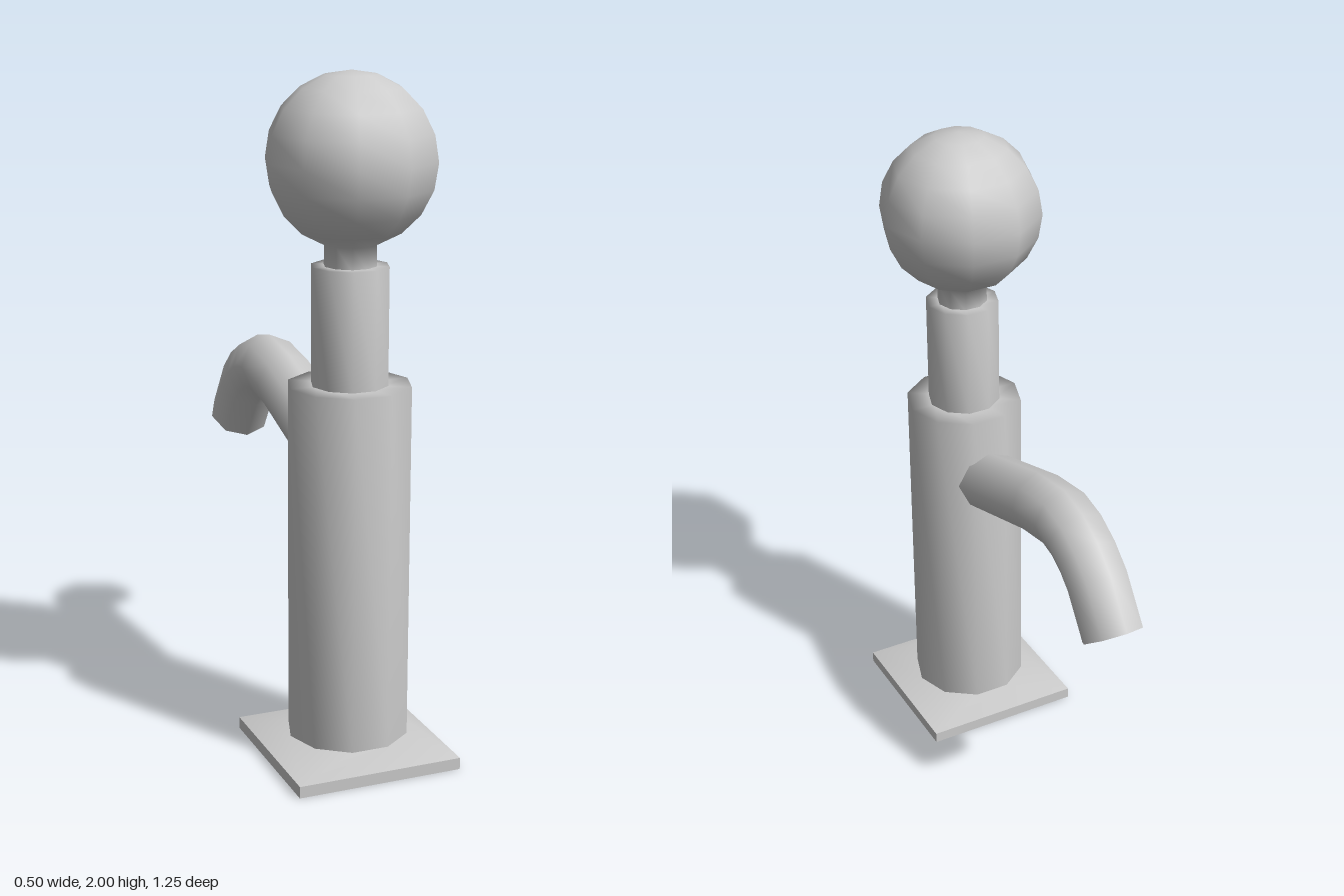
import * as THREE from 'three';
import { ConvexGeometry } from 'three/addons/geometries/ConvexGeometry.js';
import { mergeVertices, toCreasedNormals } from 'three/addons/utils/BufferGeometryUtils.js';

const AXIS_Z = 0.375; // centre line of the column

// Skin over rings { centre, radius, axis }; every ring has a corner on +x.
function skin(rings, sides) {
  const pos = [], index = [];
  const u = new THREE.Vector3(1, 0, 0), v = new THREE.Vector3(), p = new THREE.Vector3();
  rings.forEach(({ centre, radius, axis }, i) => {
    v.crossVectors(axis, u);
    for (let j = 0; j < sides; j++) {
      const a = (j / sides) * Math.PI * 2;
      p.copy(centre).addScaledVector(u, radius * Math.cos(a)).addScaledVector(v, radius * Math.sin(a));
      pos.push(p.x, p.y, p.z);
      if (i + 1 === rings.length) continue;
      const a0 = i * sides + j, b0 = i * sides + (j + 1) % sides;
      if (radius > 0) index.push(a0, b0, a0 + sides);
      if (rings[i + 1].radius > 0) index.push(b0, b0 + sides, a0 + sides);
    }
  });
  let geo = new THREE.BufferGeometry();
  geo.setAttribute('position', new THREE.Float32BufferAttribute(pos, 3));
  geo.setIndex(index);
  geo = mergeVertices(geo);
  geo.computeVertexNormals();
  return geo;
}

// Ten-sided turned part from [radius, height] pairs
function turned(profile) {
  const axis = new THREE.Vector3(0, 1, 0);
  return skin(profile.map(([radius, y]) => ({ centre: new THREE.Vector3(0, y, AXIS_Z), radius, axis })), 10);
}

function spoutGeometry() {
  const path = [[0.3, 0.873], [0.2, 0.905], [-0.12, 1.008], [-0.26, 1.032], [-0.335, 1.016],
    [-0.4, 0.98], [-0.457, 0.93], [-0.55, 0.798]].map(([z, y]) => new THREE.Vector3(0, y, z));
  const last = path.length - 1;
  const rings = path.map((centre, i) => {
    const before = centre.clone().sub(path[Math.max(i - 1, 0)]).normalize();
    const after = path[Math.min(i + 1, last)].clone().sub(centre).normalize();
    return { centre, radius: 0.095, axis: before.add(after).normalize() };
  });
  // closed ends
  rings.unshift({ ...rings[0], radius: 0 });
  rings.push({ ...rings[rings.length - 1], radius: 0 });
  return toCreasedNormals(skin(rings, 8), 1);
}

// Square slab rising to the ten-sided foot of the body
function baseGeometry() {
  const pts = [];
  for (const y of [0, 0.035])
    for (const x of [-0.25, 0.25])
      for (const z of [-0.25, 0.25]) pts.push(new THREE.Vector3(x, y, AXIS_Z + z));
  for (let j = 0; j < 10; j++) {
    const a = (j / 10) * Math.PI * 2;
    pts.push(new THREE.Vector3(0.18 * Math.cos(a), 0.07, AXIS_Z + 0.18 * Math.sin(a)));
  }
  return toCreasedNormals(new ConvexGeometry(pts), 0.7);
}

export function createModel() {
  const group = new THREE.Group();
  const material = new THREE.MeshStandardMaterial({ color: 0xcccccc });
  const add = (name, geo) => {
    const mesh = new THREE.Mesh(geo, material);
    mesh.name = name;
    group.add(mesh);
  };

  add('basePlate', baseGeometry());
  add('body', turned([[0.18, 0.065], [0.18, 1.122], [0.1, 1.122], [0, 1.122]]));
  add('stem', turned([[0.112, 1.11], [0.112, 1.462], [0.07, 1.462], [0, 1.462]]));

  // neck running into the ball knob
  const knob = [[0.076, 1.455]];
  for (let i = 1; i <= 10; i++) {
    const a = (i / 10) * Math.PI;
    knob.push([i === 10 ? 0 : 0.245 * Math.sin(a), 1.755 - 0.245 * Math.cos(a)]);
  }
  add('ballKnob', turned(knob));
  add('spout', spoutGeometry());
  return group;
}
